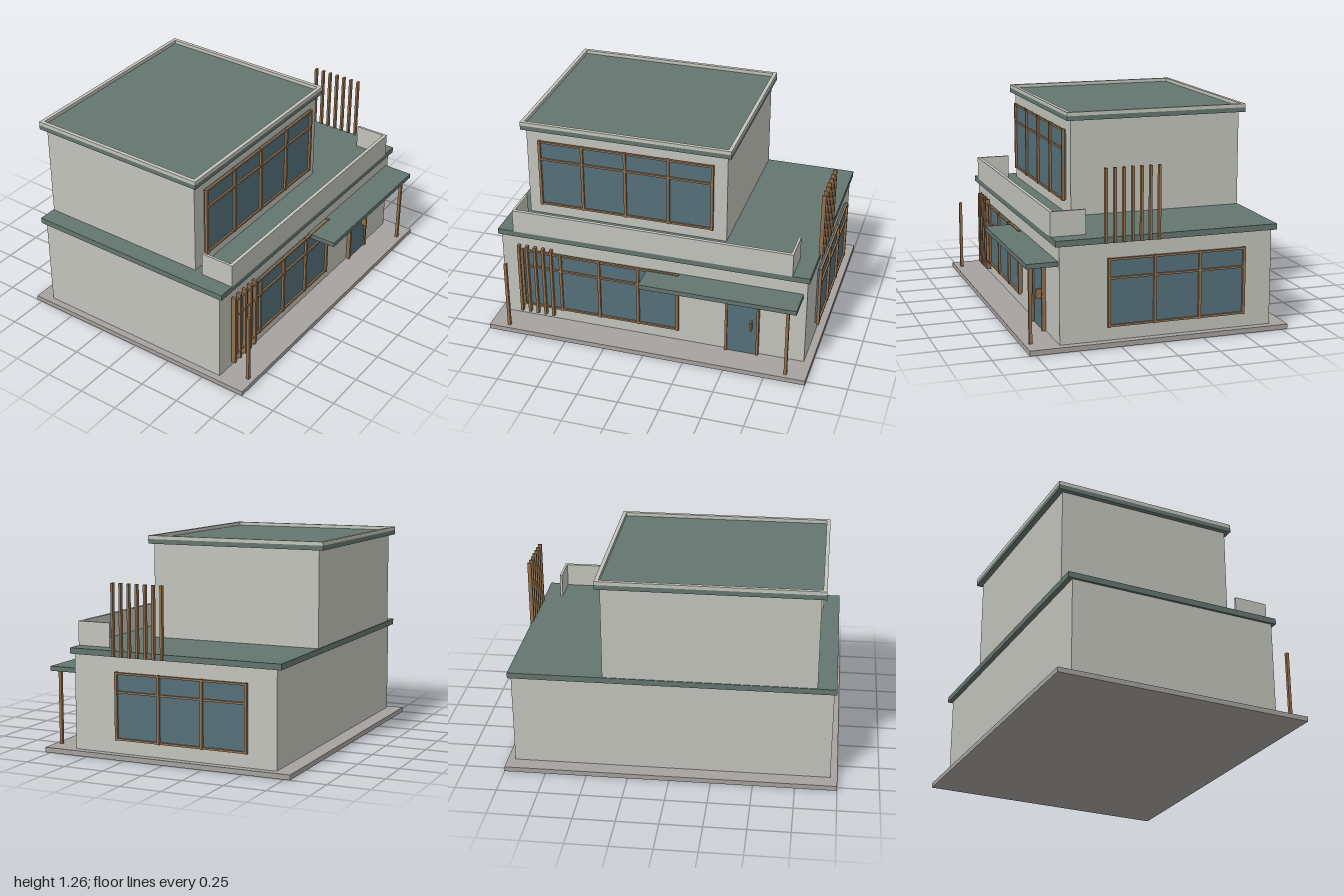
import * as THREE from 'three';

const material = (color) => new THREE.MeshStandardMaterial({ color });

export function createModel() {
  const house = new THREE.Group();
  house.name = 'house';
  const wall = material(0xc2c3bb), roof = material(0x64756f), glass = material(0x55707a);
  const wood = material(0x92704f), concrete = material(0xa5a29f);

  // Box given by its extents along each axis
  function box(name, mat, [x0, x1], [y0, y1], [z0, z1], parent = house) {
    const mesh = new THREE.Mesh(new THREE.BoxGeometry(x1 - x0, y1 - y0, z1 - z0), mat);
    mesh.position.set((x0 + x1) / 2, (y0 + y1) / 2, (z0 + z1) / 2);
    mesh.name = name;
    parent.add(mesh);
    return mesh;
  }

  // Window facing +z, built on the plane z = 0 and centred on x = 0
  function gridWindow(name, width, y0, yMid, y1, panes) {
    const group = new THREE.Group();
    group.name = name;
    const h = width / 2, t = 0.008;
    box('glass', glass, [-h, h], [y0, y1], [0.002, 0.016], group);
    for (let i = 0; i <= panes; i++) {
      const x = -h + (width * i) / panes;
      box('mullion', wood, [x - t, x + t], [y0 - t, y1 + t], [0.012, 0.03], group);
    }
    for (const y of [y0, yMid, y1]) {
      box('rail', wood, [-h, h], [y - 0.006, y + 0.006], [0.013, 0.027], group);
    }
    house.add(group);
    return group;
  }

  // Ground slab, two storeys and their roofs
  box('groundSlab', concrete, [-1, 1], [0, 0.03], [-0.785, 0.785]);
  box('lowerStorey', wall, [-0.958, 0.953], [0.03, 0.6], [-0.687, 0.598]);
  box('lowerRoof', roof, [-0.972, 0.968], [0.6, 0.635], [-0.717, 0.622]);
  box('upperStorey', wall, [-0.86, 0.4], [0.635, 1.21], [-0.712, 0.36]);
  box('upperRoof', roof, [-0.888, 0.427], [1.21, 1.238], [-0.745, 0.388]);

  // Raised rim around the upper roof
  const rim = new THREE.Shape([[-0.888, -0.388], [0.427, -0.388], [0.427, 0.745], [-0.888, 0.745]]
    .map(([x, y]) => new THREE.Vector2(x, y)));
  rim.holes.push(new THREE.Path([[-0.865, -0.365], [-0.865, 0.722], [0.404, 0.722], [0.404, -0.365]]
    .map(([x, y]) => new THREE.Vector2(x, y))));
  const rimMesh = new THREE.Mesh(
    new THREE.ExtrudeGeometry(rim, { depth: 0.022, bevelEnabled: false }).rotateX(-Math.PI / 2), wall);
  rimMesh.position.y = 1.238;
  rimMesh.name = 'roofRim';
  house.add(rimMesh);

  // Balcony parapet
  box('balconyFront', wall, [-0.87, 0.865], [0.635, 0.78], [0.603, 0.624]);
  for (const x of [-0.87, 0.85]) {
    box('balconySide', wall, [x, x + 0.015], [0.635, 0.78], [0.415, 0.603]);
  }

  // Windows
  gridWindow('upperWindow', 1.085, 0.718, 1.025, 1.14, 4).position.set(-0.23, 0, 0.36);
  gridWindow('frontWindow', 0.991, 0.12, 0.398, 0.507, 4).position.set(-0.327, 0, 0.598);
  const side = gridWindow('sideWindow', 0.821, 0.12, 0.398, 0.507, 3);
  side.rotation.y = Math.PI / 2;
  side.position.set(0.952, 0, -0.098);

  // Door with frame and handle
  box('door', glass, [0.478, 0.662], [0.03, 0.438], [0.598, 0.613]);
  for (const x of [0.466, 0.66]) box('doorJamb', wood, [x, x + 0.014], [0.03, 0.45], [0.598, 0.622]);
  box('doorHead', wood, [0.466, 0.674], [0.436, 0.45], [0.598, 0.622]);
  box('doorHandle', wood, [0.622, 0.634], [0.214, 0.274], [0.613, 0.645]);

  // Entrance canopy and posts
  box('canopy', roof, [-0.023, 0.93], [0.48, 0.508], [0.595, 0.782]);
  for (const x of [-0.881, 0.874]) {
    box('post', wood, [x - 0.009, x + 0.009], [0.03, x < 0 ? 0.475 : 0.481], [0.738, 0.756]);
  }

  // Vertical slats over the front window and tall fins at the roof edge
  for (let i = 0; i < 5; i++) {
    const x = -0.842 + i * 0.052;
    box('slat', wood, [x - 0.008, x + 0.008], [0.065, 0.54], [0.606, 0.633]);
  }
  for (let i = 0; i < 7; i++) {
    const z = 0.331 - i * 0.0527;
    box('fin', wood, [0.958, 0.982], [0.602, 1.03], [z - 0.007, z + 0.007]);
  }
  return house;
}
